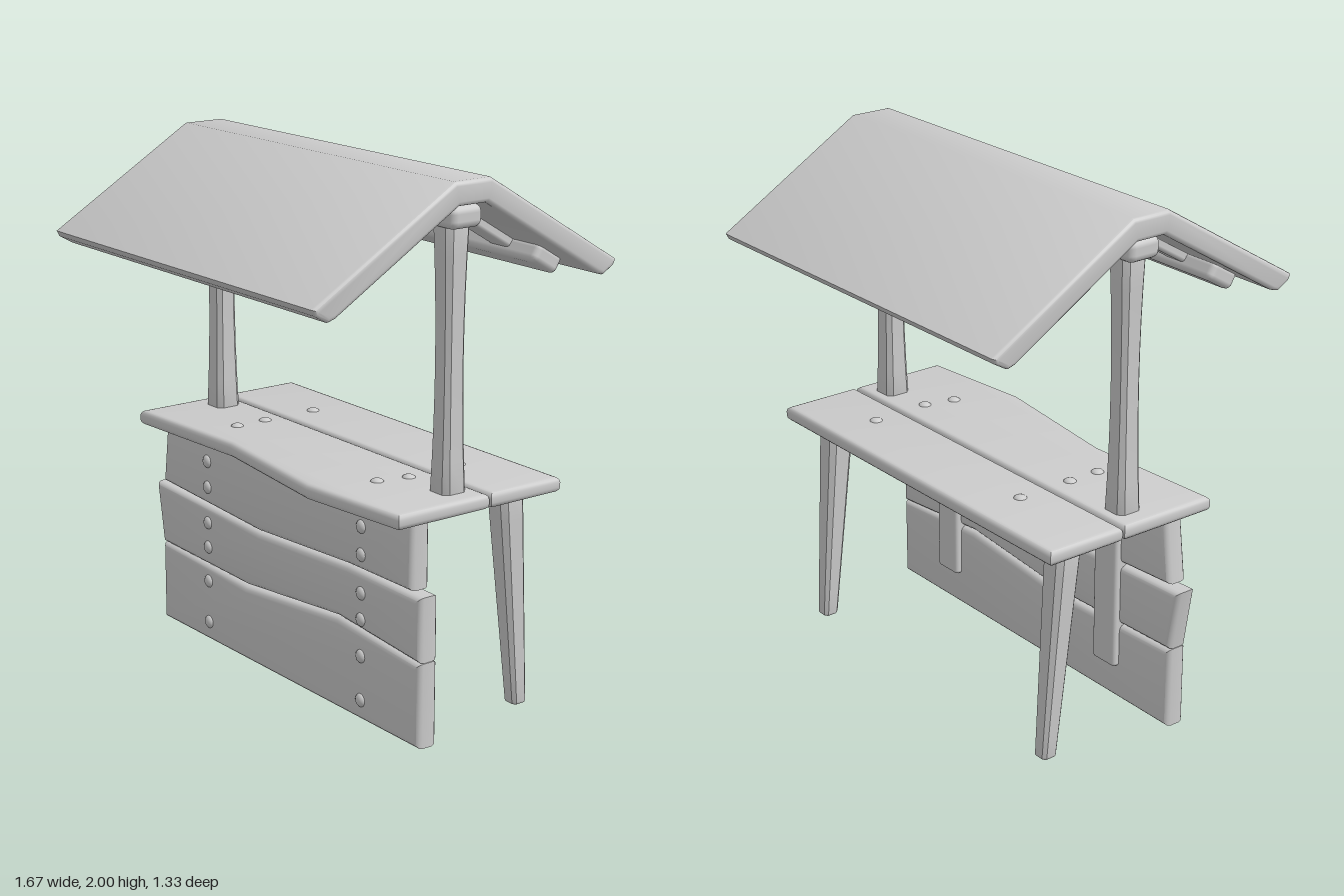
import * as THREE from 'three';
import { toCreasedNormals } from 'three/addons/utils/BufferGeometryUtils.js';
import { RoundedBoxGeometry } from 'three/addons/geometries/RoundedBoxGeometry.js';

const material = new THREE.MeshStandardMaterial({ color: 0xcccccc });

function add(parent, name, geometry, x = 0, y = 0, z = 0) {
  const mesh = new THREE.Mesh(geometry, material);
  mesh.name = name;
  mesh.position.set(x, y, z);
  parent.add(mesh);
  return mesh;
}

// Extrudes an outline along +z from 0 to depth, with bevels kept inside the outline
function slab(points, depth, bevel, steps = 1) {
  const shape = new THREE.Shape(points.map(([x, y]) => new THREE.Vector2(x, y)));
  const geometry = new THREE.ExtrudeGeometry(shape, {
    depth: depth - 2 * bevel, steps, bevelEnabled: true, bevelSegments: 3,
    bevelSize: bevel, bevelThickness: bevel, bevelOffset: -bevel,
  });
  return geometry.translate(0, 0, bevel);
}

const soften = (geometry) => toCreasedNormals(geometry, 0.6);
const bar = (w, h, d, r = 0.015) => new RoundedBoxGeometry(w, h, d, 2, r);

// Upright square timber with cut corners; rule(t) gives its half width and z offset
function timber(height, rule) {
  const c = 0.62;
  const outline = [[1, -c], [1, c], [c, 1], [-c, 1], [-1, c], [-1, -c], [-c, -1], [c, -1]];
  const geometry = slab(outline.map(([x, y]) => [x * 0.05, y * 0.05]), height, 0.012, 8);
  geometry.rotateX(-Math.PI / 2);
  const p = geometry.attributes.position;
  for (let i = 0; i < p.count; i++) {
    const { half, z } = rule(p.getY(i) / height);
    p.setX(i, p.getX(i) * half / 0.05);
    p.setZ(i, p.getZ(i) * half / 0.05 + z);
  }
  return soften(geometry);
}

export function createModel() {
  const group = new THREE.Group();

  // Front boards with uneven edges
  const boards = {
    lowerFrontBoard: [[-0.80, 0], [0.83, 0], [0.83, 0.32], [0.36, 0.355], [-0.22, 0.3], [-0.80, 0.32]],
    middleFrontBoard: [[-0.80, 0.322], [-0.22, 0.308], [0.36, 0.36], [0.83, 0.322],
      [0.83, 0.565], [0.42, 0.57], [-0.13, 0.542], [-0.84, 0.565]],
    upperFrontBoard: [[-0.79, 0.58], [-0.14, 0.547], [0.42, 0.575], [0.78, 0.575], [0.78, 0.82], [-0.76, 0.82]],
  };
  for (const [name, outline] of Object.entries(boards)) {
    add(group, name, soften(slab(outline, 0.09, 0.024)), 0, 0, 0.128);
  }

  // Counter top: a wavy front board and a straight rear one
  const counter = {
    frontCounterBoard: [[-0.80, -0.31], [-0.22, -0.28], [0.36, -0.355], [0.83, -0.31], [0.83, 0.093], [-0.80, 0.093]],
    rearCounterBoard: [[-0.80, 0.102], [0.83, 0.102], [0.83, 0.425], [-0.80, 0.425]],
  };
  for (const [name, outline] of Object.entries(counter)) {
    add(group, name, soften(slab(outline, 0.058, 0.02).rotateX(-Math.PI / 2)), 0, 0.828, 0);
  }

  // Battens joining the boards
  for (const x of [-0.47, 0.5]) add(group, 'frontBatten', bar(0.125, 0.61, 0.06), x, 0.445, 0.132);
  for (const x of [-0.4, 0.49]) add(group, 'counterBatten', bar(0.12, 0.04, 0.39), x, 0.83, -0.115);

  // Round nail heads on the front and on the counter
  const nail = new THREE.SphereGeometry(0.026, 12, 8);
  for (const x of [-0.47, 0.503]) {
    for (const y of [0.08, 0.25, 0.39, 0.49, 0.635, 0.74]) {
      add(group, 'frontNail', nail, x, y, 0.215).scale.z = 0.7;
    }
  }
  for (const [x, z] of [[-0.39, 0.13], [-0.39, 0], [-0.39, -0.23], [0.48, 0.13], [0.51, 0.01], [0.5, -0.23]]) {
    add(group, 'counterNail', nail, x, 0.882, z).scale.y = 0.6;
  }

  // Splayed rear legs and waisted roof posts
  const leg = timber(0.84, (t) => ({ half: 0.032 + 0.023 * t, z: -0.343 + 0.073 * t }));
  const post = timber(0.98, (t) => ({ half: 0.042 + 0.011 * (2 * t - 1) ** 2, z: 0 }));
  for (const x of [-0.68, 0.71]) {
    add(group, 'rearLeg', leg, x, 0.003, 0);
    add(group, 'roofPost', post, x, 0.87, -0.002);
  }

  // Roof shell, extruded along its ridge
  const half = [[0.08, 2], [0.667, 1.647], [0.655, 1.625], [0.605, 1.596], [0.575, 1.605], [0.06, 1.915]];
  const outline = [...half, ...half.map(([z, y]) => [-z, y]).reverse()];
  add(group, 'roof', soften(slab(outline, 1.63, 0.016).rotateY(Math.PI / 2)), -0.80, 0, 0);
  add(group, 'ridgeBeam', bar(1.57, 0.082, 0.14, 0.028), 0.015, 1.868, 0);

  // Rafters and eave battens beneath each slope
  const pitch = 0.54;
  for (const side of [-1, 1]) {
    const slope = new THREE.Group();
    slope.name = 'roofSupports';
    slope.position.set(0.015, 1.915, side * 0.06);
    slope.rotation.x = side * pitch;
    add(slope, 'eaveBatten', bar(1.4, 0.075, 0.13, 0.024), 0, -0.025, side * 0.465);
    for (const x of [-0.5, 0.5]) add(slope, 'rafter', bar(0.11, 0.06, 0.47), x, -0.005, side * 0.235);
    group.add(slope);
  }

  return group;
}
